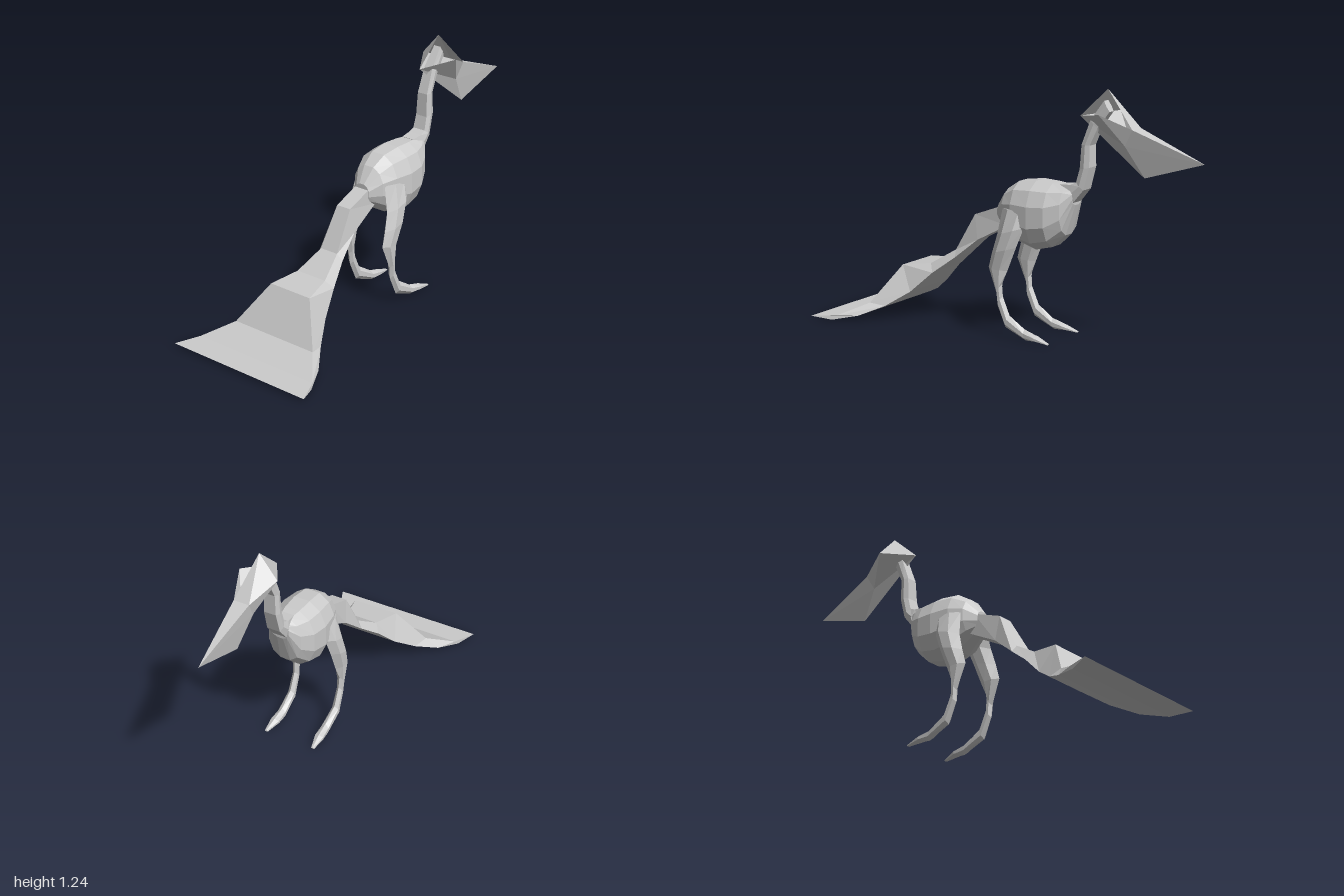
import * as THREE from 'three';

const grey = new THREE.MeshStandardMaterial({ color: 0xcccccc, flatShading: true, side: THREE.DoubleSide });

// Mesh from points and polygons (each polygon is fanned into triangles)
function polyMesh(name, points, polygons) {
  const position = [];
  for (const p of polygons)
    for (let i = 1; i < p.length - 1; i++)
      position.push(...points[p[0]], ...points[p[i]], ...points[p[i + 1]]);
  const geometry = new THREE.BufferGeometry();
  geometry.setAttribute('position', new THREE.Float32BufferAttribute(position, 3));
  geometry.computeVertexNormals();
  const mesh = new THREE.Mesh(geometry, grey);
  mesh.name = name;
  return mesh;
}

// Closed loft. A section runs from edge A to edge B: [zA, yA, halfWidthA, zB, yB, halfWidthB];
// profile points are (u, v): u across the width, v from A to B.
function loft(name, sections, profile, centreX = () => 0) {
  const { lerp } = THREE.MathUtils;
  const n = profile.length, points = [], faces = [];
  sections.forEach(([za, ya, wa, zb, yb, wb], s) => {
    for (const [u, v] of profile)
      points.push([centreX(s) + u * lerp(wa, wb, v), lerp(ya, yb, v), lerp(za, zb, v)]);
  });
  for (let s = 0; s < sections.length - 1; s++)
    for (let i = 0; i < n; i++) {
      const j = (i + 1) % n;
      faces.push([s * n + i, s * n + j, (s + 1) * n + j, (s + 1) * n + i]);
    }
  const ring = profile.map((_, i) => i);
  faces.push([...ring].reverse(), ring.map(i => i + n * (sections.length - 1)));

  // Turn the faces outward if the enclosed volume is negative
  const a = new THREE.Vector3(), b = new THREE.Vector3(), c = new THREE.Vector3();
  let volume = 0;
  for (const f of faces)
    for (let i = 1; i < f.length - 1; i++) {
      a.fromArray(points[f[0]]); b.fromArray(points[f[i]]); c.fromArray(points[f[i + 1]]);
      volume += a.dot(b.cross(c));
    }
  if (volume < 0) faces.forEach(f => f.reverse());
  return polyMesh(name, points, faces);
}

// Rounded, slightly boxy outline for the body
function roundProfile(sides, power) {
  const bulge = t => Math.sign(t) * Math.abs(t) ** power;
  return Array.from({ length: sides }, (_, i) => {
    const a = (i + 0.5) / sides * Math.PI * 2;
    return [bulge(Math.sin(a)), 0.5 - bulge(Math.cos(a)) / 2 * 1.02];
  });
}
const quad = [[-1, 0], [1, 0], [1, 1], [-1, 1]];
const hexagon = [[0, 0], [1, 0.3], [1, 0.7], [0, 1], [-1, 0.7], [-1, 0.3]];
const chamfered = [[-0.8, 0], [0.8, 0], [1, 0.5], [0.8, 1], [-0.8, 1], [-1, 0.5]];

export function createModel() {
  const model = new THREE.Group();
  model.name = 'longBeakedBird';

  // Body: z, top, bottom, half width
  const body = [
    [0.105, 0.64, 0.55, 0.045], [0.05, 0.715, 0.51, 0.09], [-0.02, 0.76, 0.46, 0.122],
    [-0.12, 0.772, 0.432, 0.135], [-0.21, 0.768, 0.455, 0.125], [-0.28, 0.762, 0.52, 0.09],
    [-0.325, 0.755, 0.67, 0.05],
  ].map(([z, top, bottom, w]) => [z, bottom, w, z, top, w]);
  model.add(loft('body', body, roundProfile(12, 0.88)));

  // Tail: lower edge, then upper edge
  model.add(loft('tail', [
    [0.05, 0.53, 0.04, 0.08, 0.625, 0.04],
    [0.22, 0.44, 0.05, 0.24, 0.565, 0.04],
    [0.34, 0.34, 0.075, 0.35, 0.375, 0.05],
    [0.45, 0.255, 0.115, 0.48, 0.295, 0.085],
    [0.56, 0.15, 0.155, 0.63, 0.275, 0.12],
    [0.67, 0.075, 0.22, 0.75, 0.085, 0.24],
    [0.78, 0.025, 0.3, 0.88, 0.022, 0.35],
    [0.9, 0, 0.36, 1, 0.015, 0.403],
  ], quad));

  // Neck: throat edge, then nape edge; its end lies inside the open head
  const neck = [
    [-0.27, 0.62, -0.25, 0.765, 0.04], [-0.33, 0.69, -0.31, 0.77, 0.047],
    [-0.38, 0.75, -0.34, 0.785, 0.043], [-0.41, 0.86, -0.358, 0.85, 0.04],
    [-0.41, 0.965, -0.365, 0.965, 0.035], [-0.45, 1.05, -0.41, 1.085, 0.03],
    [-0.51, 1.13, -0.48, 1.18, 0.023],
  ].map(([za, ya, zb, yb, w]) => [za, ya, w, zb, yb, w]);
  model.add(loft('neck', neck, chamfered));

  // Legs: front z, y, back z, y, inner x, outer x, from haunch to toe
  const leg = [
    [-0.12, 0.63, 0.04, 0.63, 0.06, 0.12], [-0.1, 0.55, 0.055, 0.5, 0.085, 0.148],
    [-0.06, 0.45, 0.08, 0.41, 0.093, 0.155], [-0.01, 0.33, 0.1, 0.335, 0.1, 0.148],
    [0.02, 0.26, 0.05, 0.21, 0.112, 0.145], [0.015, 0.2, 0.045, 0.15, 0.112, 0.142],
    [-0.025, 0.11, 0, 0.05, 0.11, 0.145], [-0.11, 0.055, -0.12, 0, 0.105, 0.145],
    [-0.18, 0.035, -0.17, 0.003, 0.105, 0.15], [-0.25, 0.006, -0.25, 0, 0.125, 0.142],
  ];
  for (const side of [1, -1]) {
    const sections = leg.map(([zf, yf, zb, yb, xi, xo]) =>
      [zf, yf, (xo - xi) / 2, zb, yb, (xo - xi) / 2]);
    model.add(loft(side > 0 ? 'leftLeg' : 'rightLeg', sections, hexagon,
      s => side * (leg[s][4] + leg[s][5]) / 2));
  }

  // Head: crest, nape, jaw and beak tip on the middle; cheek, throat and brow per side
  const points = [[0, 1.235, -0.49], [0, 1.097, -0.34], [0, 0.835, -0.69], [0, 0.93, -1]];
  for (const side of [1, -1])
    points.push([side * 0.1, 1.125, -0.5], [side * 0.03, 0.98, -0.6], [side * 0.04, 1.06, -0.645]);
  const crest = 0, nape = 1, jaw = 2, tip = 3;
  const faces = [[crest, 6, 9], [6, tip, 9]];
  for (const first of [4, 7]) {
    const cheek = first, throat = first + 1, brow = first + 2;
    const half = [[nape, throat, cheek], [nape, jaw, throat], [cheek, throat, brow],
      [throat, jaw, tip], [throat, tip, brow]];
    // The crest is open on the left side
    if (first === 7) half.push([crest, nape, cheek], [crest, cheek, brow]);
    faces.push(...half.map(f => (first === 4 ? f : f.reverse())));
  }
  model.add(polyMesh('headAndBeak', points, faces));
  return model;
}
